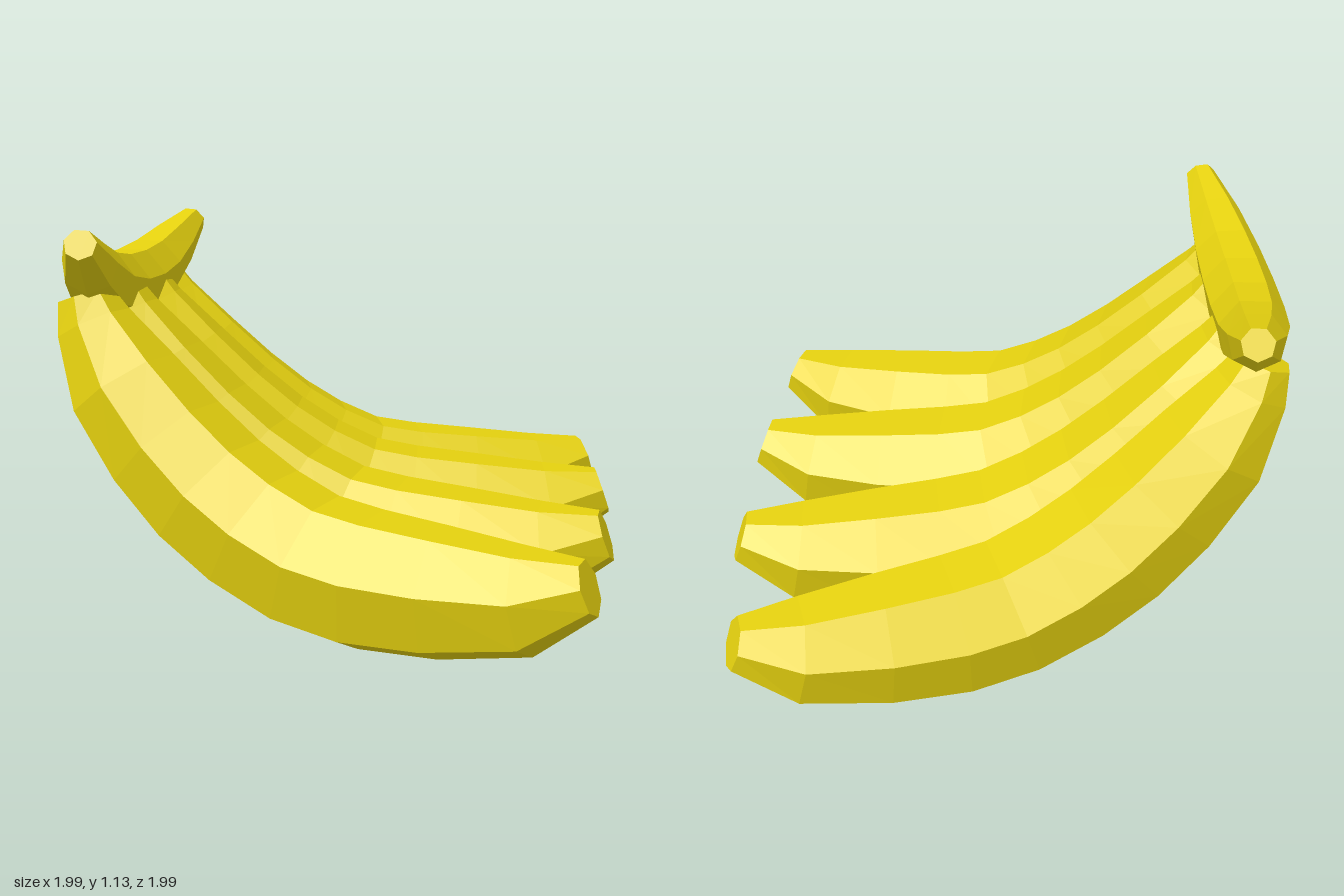
import * as THREE from 'three';

const SIDES = 7;

// Sweeps a heptagon (flat on top, pointed below) along rings [point, radius];
// `across` is the sideways direction
function sweep(rings, across) {
  const pos = [], index = [];
  const last = rings.length - 1;
  rings.forEach(([p, r], i) => {
    const t = rings[Math.min(i + 1, last)][0].clone()
      .sub(rings[Math.max(i - 1, 0)][0]).normalize();
    const side = across.clone().addScaledVector(t, -across.dot(t)).normalize();
    const up = t.clone().cross(side);
    for (let j = 0; j < SIDES; j++) {
      const a = (j / SIDES) * Math.PI * 2 - Math.PI / 2;
      const v = p.clone()
        .addScaledVector(side, r * Math.cos(a))
        .addScaledVector(up, r * Math.sin(a));
      pos.push(v.x, v.y, v.z);
    }
  });
  for (let i = 0; i < last; i++) {
    for (let j = 0; j < SIDES; j++) {
      const k = (j + 1) % SIDES;
      const a = i * SIDES + j, b = i * SIDES + k;
      index.push(a, b, b + SIDES, a, b + SIDES, a + SIDES);
    }
  }
  // End caps
  const e = last * SIDES;
  for (let j = 1; j < SIDES - 1; j++) {
    index.push(0, j + 1, j);
    index.push(e, e + j, e + j + 1);
  }
  const geo = new THREE.BufferGeometry();
  geo.setAttribute('position', new THREE.Float32BufferAttribute(pos, 3));
  geo.setIndex(index);
  const flat = geo.toNonIndexed();
  flat.computeVertexNormals();
  return flat;
}

// Banana profile: distance outward, height, radius
const PROFILE = [
  [0.0, 0.94, 0.08],
  [0.025, 0.86, 0.11],
  [0.12, 0.69, 0.165],
  [0.255, 0.53, 0.187],
  [0.39, 0.405, 0.197],
  [0.53, 0.31, 0.2],
  [0.69, 0.235, 0.2],
  [0.86, 0.202, 0.2],
  [1.07, 0.192, 0.185],
  [1.31, 0.2, 0.15],
  [1.48, 0.258, 0.077],
];

// Root and tip of each banana on the ground plane: x, z
const FRUIT = [
  [-0.85, -0.34, -0.12, 0.955],
  [-0.68, -0.49, 0.265, 0.645],
];

export function createModel() {
  const group = new THREE.Group();
  const material = new THREE.MeshStandardMaterial({ color: 0xe6d20f, flatShading: true });
  const add = (name, geo) => {
    const mesh = new THREE.Mesh(geo, material);
    mesh.name = name;
    group.add(mesh);
  };

  // Fanned bananas, mirrored across the x = z plane
  const fan = [...FRUIT, ...FRUIT.map(([a, b, c, d]) => [b, a, d, c]).reverse()];
  fan.forEach(([x0, z0, x1, z1], n) => {
    const reach = PROFILE[PROFILE.length - 1][0];
    const rings = PROFILE.map(([s, y, r]) => {
      const f = s / reach;
      return [new THREE.Vector3(x0 + (x1 - x0) * f, y, z0 + (z1 - z0) * f), r];
    });
    const across = new THREE.Vector3(z1 - z0, 0, x0 - x1).normalize();
    add(`banana${n + 1}`, sweep(rings, across));
  });

  // Curved crown stem joining the roots: x, y, z, radius
  const half = [
    [-0.955, 1.1, -0.14, 0.045],
    [-0.866, 1.025, -0.272, 0.08],
    [-0.769, 0.965, -0.401, 0.1],
    [-0.656, 0.937, -0.529, 0.108],
  ];
  const stem = [...half, ...half.map(([x, y, z, r]) => [z, y, x, r]).reverse()];
  add('stem', sweep(
    stem.map(([x, y, z, r]) => [new THREE.Vector3(x, y, z), r]),
    new THREE.Vector3(-1, 0, -1).normalize(),
  ));

  return group;
}
